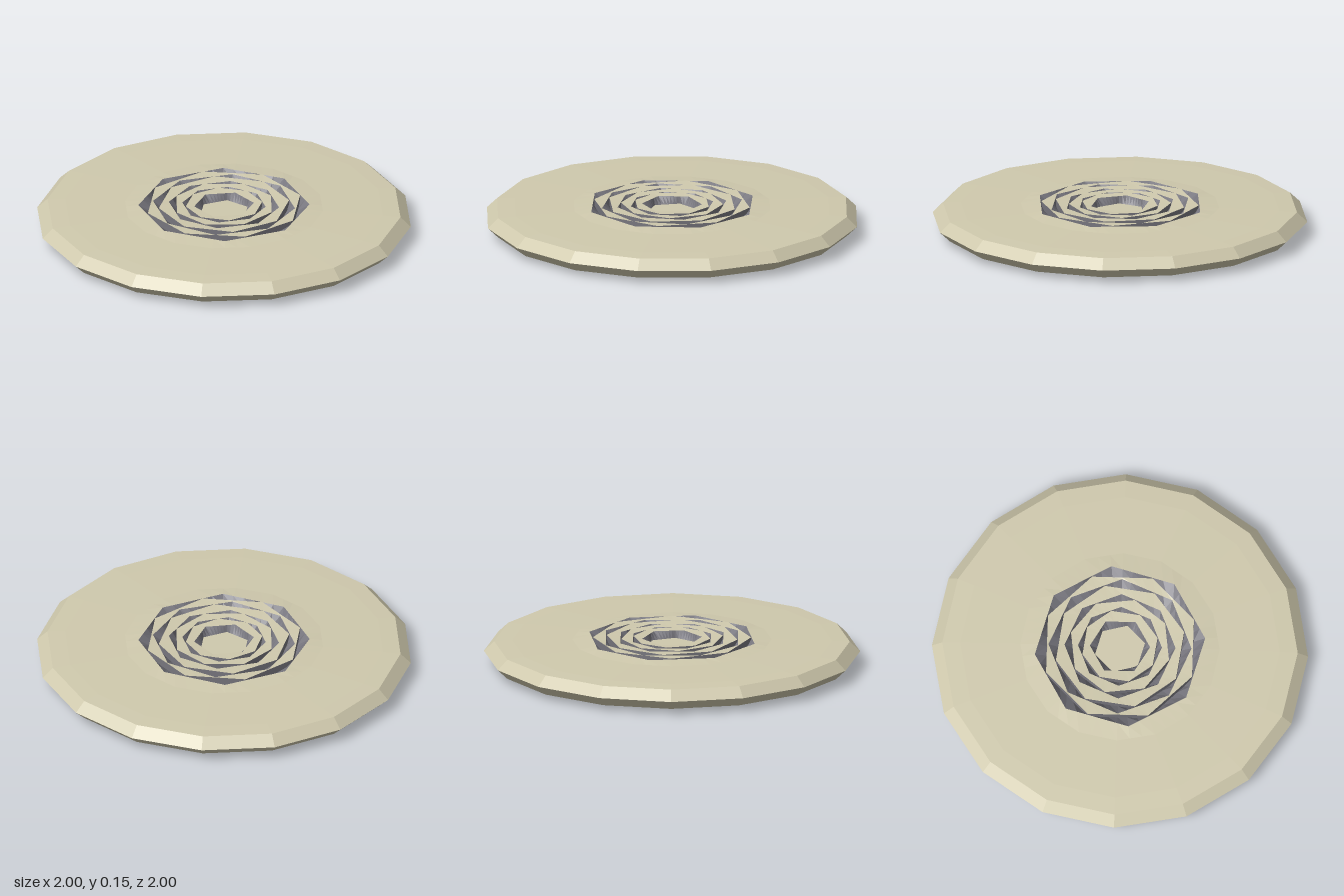
import * as THREE from 'three';

const STEPS = 48; // divisible by 16, 8 and 6, so every polygon corner lands on a sample
const MID = 0.077;

// Polygon outline of n sides with corner radius r, turned by phase steps, at height h
function loop({ r, h, n, phase = 0 }) {
  const sector = (2 * Math.PI) / n;
  const points = [];
  for (let i = 0; i <= STEPS; i++) {
    const a = (i / STEPS) * 2 * Math.PI;
    const steps = (((i - phase) % (STEPS / n)) + STEPS / n) % (STEPS / n);
    const local = (steps / STEPS) * 2 * Math.PI - sector / 2;
    const d = (r * Math.cos(sector / 2)) / Math.cos(local);
    points.push([d * Math.cos(a), h, -d * Math.sin(a)]);
  }
  return points;
}

// Faceted surface running inward through a list of outlines
function surface(name, rings, material) {
  const pos = [];
  for (let k = 0; k + 1 < rings.length; k++) {
    const outer = loop(rings[k]), inner = loop(rings[k + 1]);
    for (let i = 0; i < STEPS; i++) {
      pos.push(...outer[i], ...outer[i + 1], ...inner[i]);
      if (rings[k + 1].r > 0) pos.push(...outer[i + 1], ...inner[i + 1], ...inner[i]);
    }
  }
  const geometry = new THREE.BufferGeometry();
  geometry.setAttribute('position', new THREE.Float32BufferAttribute(pos, 3));
  geometry.computeVertexNormals();
  const mesh = new THREE.Mesh(geometry, material);
  mesh.name = name;
  return mesh;
}

// One face of the disc, measured from the middle plane upward
function discFace(name, shell, groove) {
  const face = new THREE.Group();
  face.name = name;
  const top = 0.073, low = 0.035;

  // Bevelled rim and gently rising plate
  face.add(surface('rim', [
    { r: 1, h: 0, n: 16 },
    { r: 0.945, h: 0.053, n: 16 },
  ], shell));
  face.add(surface('plate', [
    { r: 0.945, h: 0.053, n: 16 },
    { r: 0.85, h: 0.058, n: 16 },
    { r: 0.53, h: 0.065, n: 16 },
    { r: 0.455, h: top, n: 8, phase: 1 },
  ], shell));

  // Raised rings: outer outline, then the outline of the opening inside
  const rings = [
    [{ r: 0.42, n: 8, phase: 3 }, { r: 0.38, n: 8 }],
    [{ r: 0.35, n: 8, phase: 2 }, { r: 0.295, n: 8 }],
    [{ r: 0.272, n: 8, phase: 4 }, { r: 0.223, n: 8 }],
    [{ r: 0.205, n: 8, phase: 2 }, { r: 0.16, n: 6 }],
  ];
  let opening = { r: 0.455, n: 8, phase: 1 };
  rings.forEach(([outer, inner], i) => {
    face.add(surface(`groove${i + 1}`, [
      { ...opening, h: top },
      { ...outer, h: low },
      { ...outer, h: top + 0.003 },
    ], groove));
    face.add(surface(`ring${i + 1}`, [
      { ...outer, h: top + 0.003 },
      { ...inner, h: top },
    ], shell));
    opening = inner;
  });

  // Sunken centre
  const centre = { r: 0.136, h: low, n: 6, phase: 2 };
  face.add(surface('centreWall', [{ ...opening, h: top }, centre], groove));
  face.add(surface('centreFloor', [centre, { r: 0, h: low, n: 6 }], shell));
  return face;
}

export function createModel() {
  const shell = new THREE.MeshStandardMaterial({ color: 0xcfc9ad });
  shell.name = 'pale stone';
  const groove = new THREE.MeshStandardMaterial({ color: 0x77767e });
  groove.name = 'slate grey';

  const disc = new THREE.Group();
  disc.name = 'disc';
  const upper = discFace('upperFace', shell, groove);
  const lower = discFace('lowerFace', shell, groove);
  lower.rotation.x = Math.PI;
  upper.position.y = lower.position.y = MID;
  disc.add(upper, lower);
  return disc;
}
